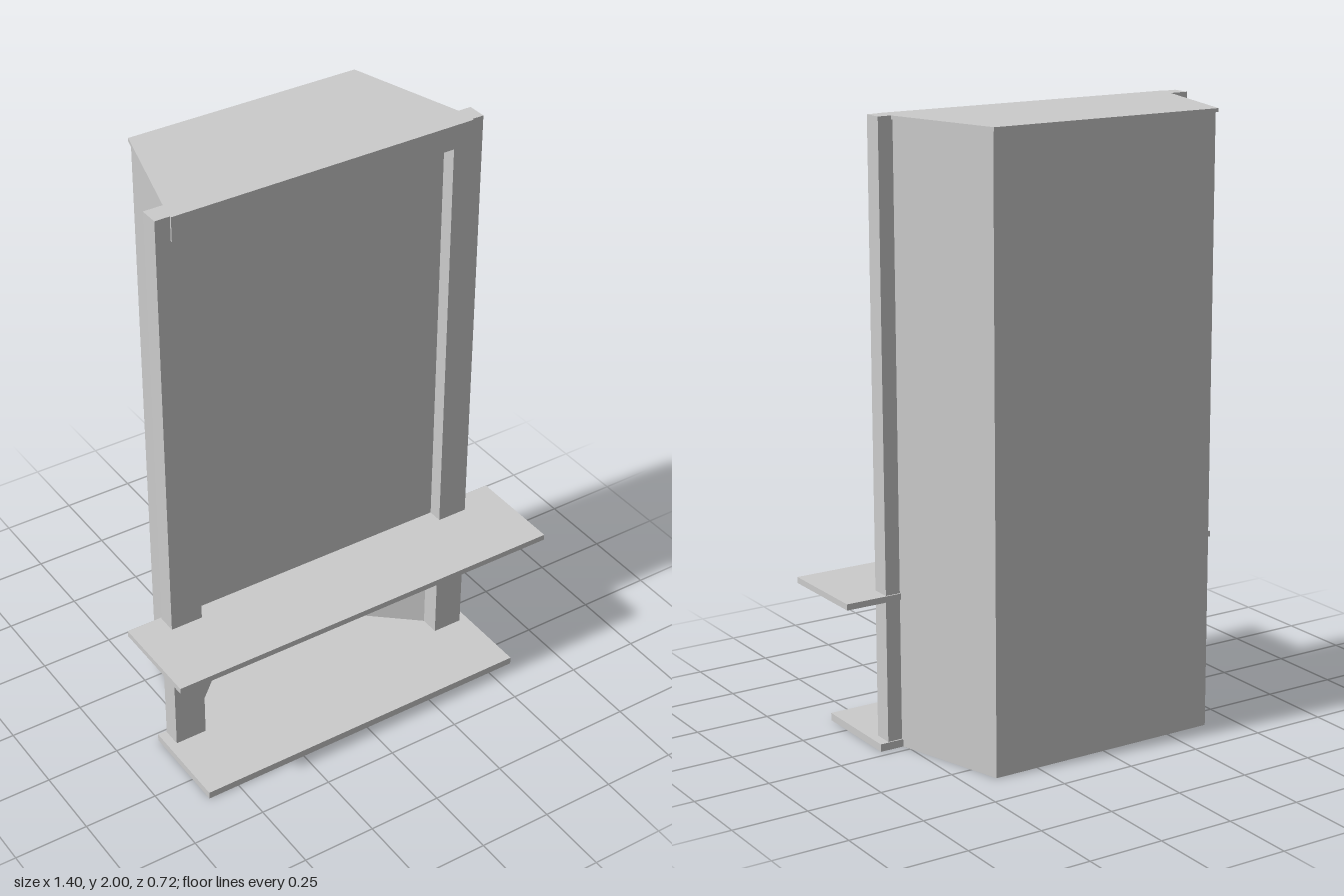
import * as THREE from 'three';

const material = new THREE.MeshStandardMaterial({ color: 0xcccccc, flatShading: true });

function add(group, name, geometry) {
  const mesh = new THREE.Mesh(geometry, material);
  mesh.name = name;
  group.add(mesh);
}

// Box given by its limits on each axis
function box(x0, x1, y0, y1, z0, z1) {
  return new THREE.BoxGeometry(x1 - x0, y1 - y0, z1 - z0)
    .translate((x0 + x1) / 2, (y0 + y1) / 2, (z0 + z1) / 2);
}

// Upright prism from a floor plan of [x, z] points
function prism(plan, y0, y1) {
  const shape = new THREE.Shape(plan.map(([x, z]) => new THREE.Vector2(x, -z)));
  return new THREE.ExtrudeGeometry(shape, { depth: y1 - y0, bevelEnabled: false })
    .rotateX(-Math.PI / 2)
    .translate(0, y0, 0);
}

export function createModel() {
  const group = new THREE.Group();
  group.name = 'fireplace';

  const left = -0.47, right = 0.455; // opening between the posts
  const front = 0.035, openingTop = 0.45, floor = 0.025, lidBottom = 1.988;
  const back = [[0.4, -0.35], [-0.4, -0.35]];

  // Tapered chimney body: floor, splayed firebox walls, solid upper part
  const plan = [[-0.51, front], [0.51, front], ...back];
  const fireboxPlan = [
    [-0.51, front], [left, front], [-0.12, -0.29], [0.08, -0.29],
    [right, front], [0.51, front], ...back,
  ];
  add(group, 'fireboxFloor', prism(plan, 0, floor));
  add(group, 'fireboxWalls', prism(fireboxPlan, floor, openingTop));
  add(group, 'chimneyBody', prism(plan, openingTop, lidBottom));

  // Thin lid with a slight overhang at the back
  add(group, 'lid', prism([[-0.515, front], [0.515, front], [0.403, -0.36], [-0.403, -0.36]], lidBottom, 2));

  // Front frame and recessed panel
  add(group, 'rightPost', box(-0.58, left, floor, 2, front, 0.1));
  add(group, 'leftPost', box(right, 0.56, floor, 2, front, 0.1));
  add(group, 'topBeam', box(-0.53, 0.52, 1.92, 2, front, 0.106));
  add(group, 'frontPanel', box(left, right, openingTop, 1.92, front, 0.05));

  // Mantel shelf and hearth slab
  add(group, 'mantelShelf', box(-0.7, 0.7, 0.49, 0.51, 0.03, 0.355));
  add(group, 'hearth', box(-0.61, 0.59, 0, floor, 0.03, 0.355));

  return group;
}
